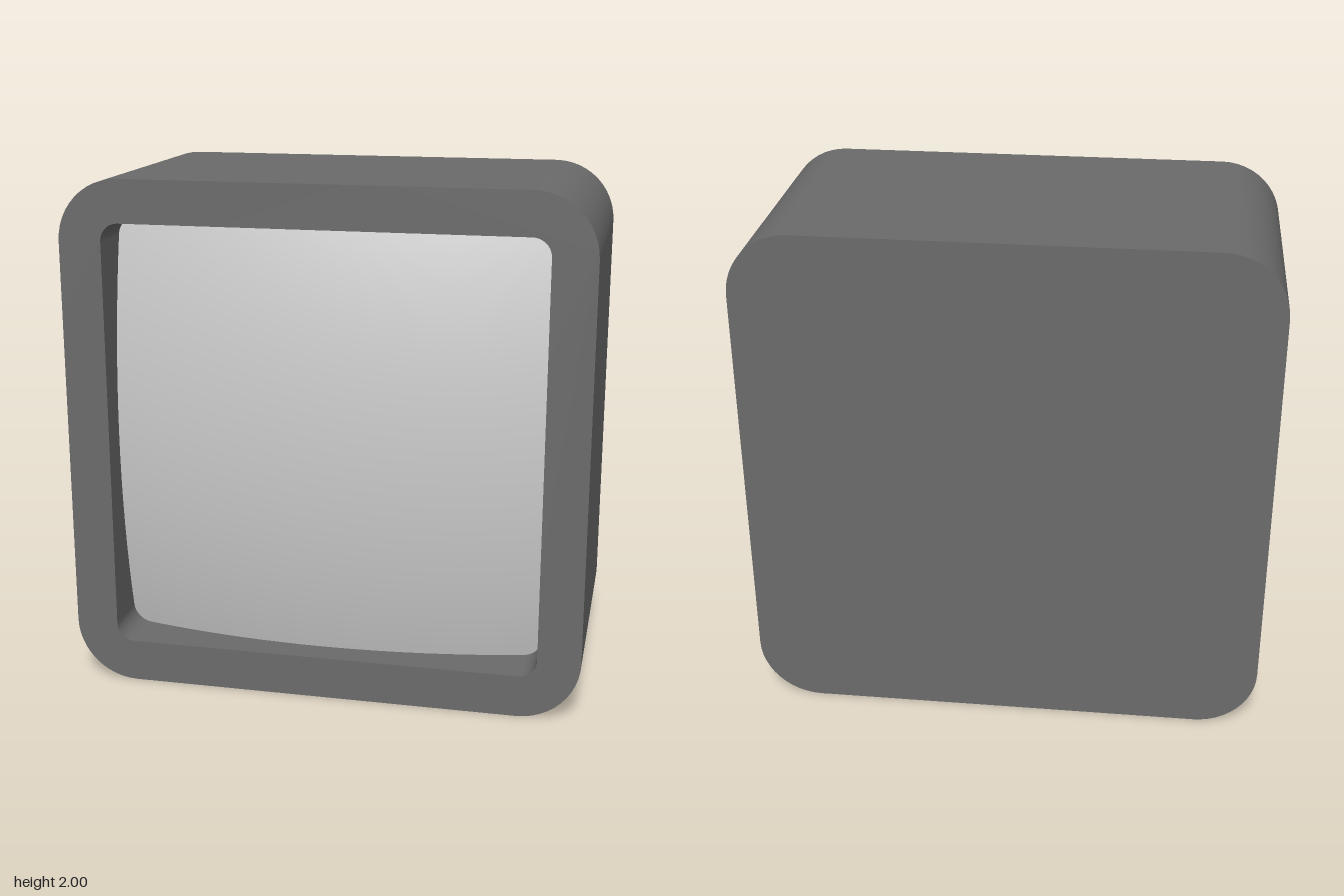
import * as THREE from 'three';
import { mergeGeometries } from 'three/addons/utils/BufferGeometryUtils.js';

const FRONT = 0.5, BACK = -0.5;
const OUTER = { half: 1, radius: 0.24 };
const OPENING = { half: 0.835, radius: 0.07 };
const POCKET = 0.26; // z where the inner wall ends, behind the glass edge
const APEX = 0.495, DOME = 3.45; // front point and radius of the spherical glass

// Rounded square, counter-clockwise, with outward normals; straight runs are subdivided
function outline({ half, radius }, arc = 12, straight = 16) {
  const loop = [], c = half - radius;
  for (let k = 0; k < 4; k++) {
    const turn = k * Math.PI / 2, cs = Math.cos(turn), sn = Math.sin(turn);
    const add = (x, y, nx, ny) => loop.push({
      x: x * cs - y * sn, y: x * sn + y * cs, nx: nx * cs - ny * sn, ny: nx * sn + ny * cs,
    });
    for (let i = 0; i < straight; i++) add(half, -c + 2 * c * i / straight, 1, 0);
    for (let i = 0; i < arc; i++) {
      const a = i / arc * Math.PI / 2;
      add(c + radius * Math.cos(a), c + radius * Math.sin(a), Math.cos(a), Math.sin(a));
    }
  }
  return loop;
}

// Joins equal-length rings of [x, y, z, nx, ny, nz] with a band of quads
function loft(rings) {
  const n = rings[0].length, position = [], normal = [], uv = [], index = [];
  rings.forEach((ring, r) => ring.forEach((v, i) => {
    position.push(v[0], v[1], v[2]);
    normal.push(v[3], v[4], v[5]);
    uv.push(i / n, r / (rings.length - 1));
  }));
  for (let r = 0; r < rings.length - 1; r++) {
    for (let i = 0; i < n; i++) {
      const a = r * n + i, b = r * n + (i + 1) % n;
      index.push(a, b, b + n, a, b + n, a + n);
    }
  }
  const g = new THREE.BufferGeometry();
  g.setAttribute('position', new THREE.Float32BufferAttribute(position, 3));
  g.setAttribute('normal', new THREE.Float32BufferAttribute(normal, 3));
  g.setAttribute('uv', new THREE.Float32BufferAttribute(uv, 2));
  g.setIndex(index);
  return g;
}

// Wall along an outline; side = 1 faces outward, -1 inward
function wall(loop, z0, z1, side) {
  const ring = z => loop.map(p => [p.x, p.y, z, p.nx * side, p.ny * side, 0]);
  return loft(side > 0 ? [ring(z0), ring(z1)] : [ring(z1), ring(z0)]);
}

// Spherical glass made of shrinking rounded squares
function domedGlass(loop, steps = 20) {
  const centre = APEX - DOME, rings = [];
  for (let s = 0; s <= steps; s++) {
    const t = 1 - s / steps;
    rings.push(loop.map(p => {
      const x = p.x * t, y = p.y * t, h = Math.sqrt(DOME * DOME - x * x - y * y);
      return [x, y, centre + h, x / DOME, y / DOME, h / DOME];
    }));
  }
  return loft(rings);
}

export function createModel() {
  const model = new THREE.Group();
  model.name = 'screenBox';
  const outer = outline(OUTER), opening = outline(OPENING);
  const points = loop => loop.map(p => new THREE.Vector2(p.x, p.y));

  // Housing: front bezel, side wall, opening wall and closed back
  const bezel = new THREE.Shape(points(outer));
  bezel.holes.push(new THREE.Path(points(opening)));
  const housing = new THREE.Mesh(
    mergeGeometries([
      new THREE.ShapeGeometry(bezel).translate(0, 0, FRONT),
      wall(outer, BACK, FRONT, 1),
      wall(opening, POCKET, FRONT, -1),
      new THREE.ShapeGeometry(new THREE.Shape(points(outer))).rotateY(Math.PI).translate(0, 0, BACK),
    ]),
    new THREE.MeshStandardMaterial({ color: 0x6b6b6b }),
  );
  housing.name = 'housing';

  // Bulging screen set into the opening
  const screen = new THREE.Mesh(domedGlass(opening), new THREE.MeshStandardMaterial({ color: 0xcccccc }));
  screen.name = 'screen';

  for (const part of [housing, screen]) {
    part.position.y = 1;
    model.add(part);
  }
  return model;
}
